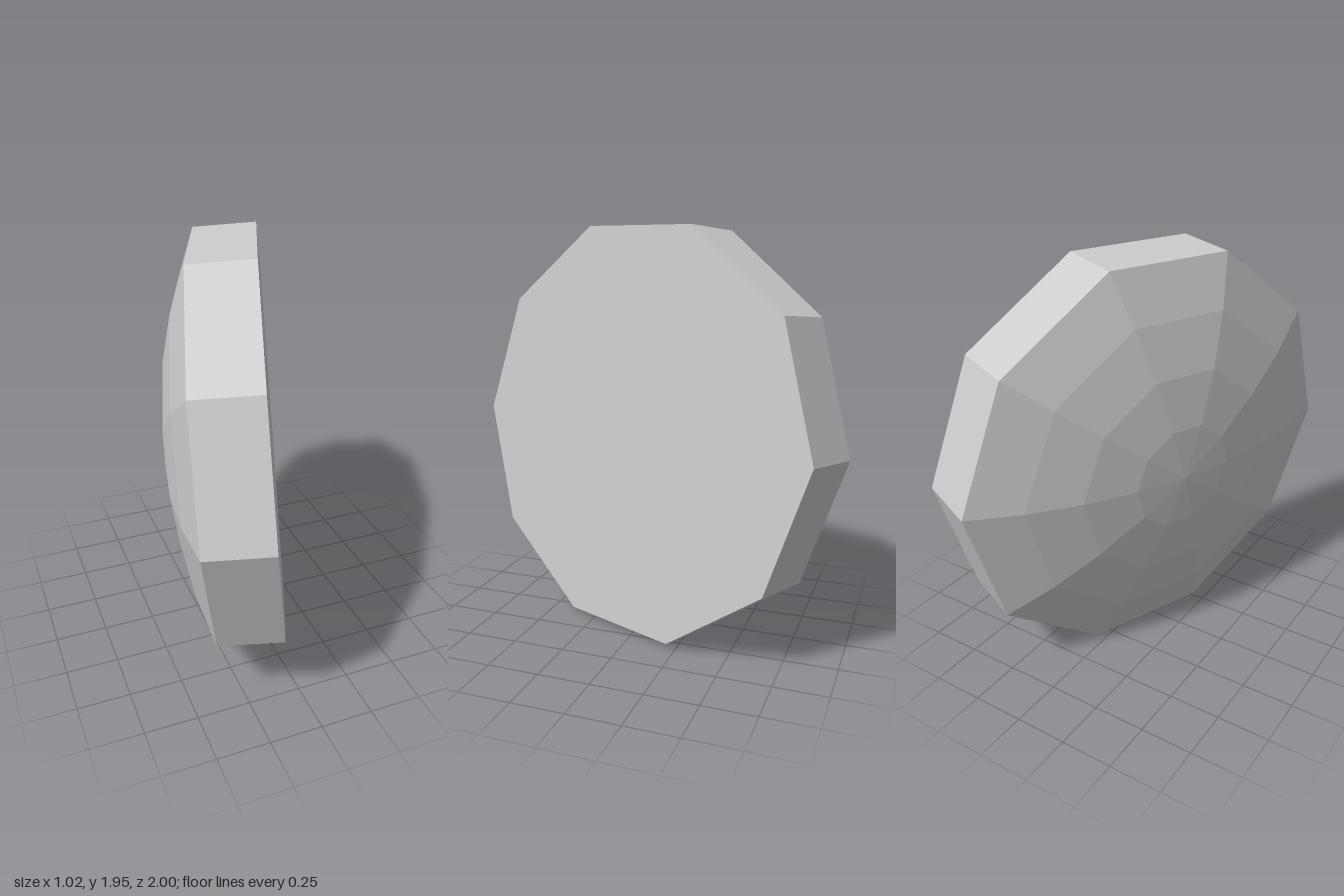
import * as THREE from 'three';

const SIDES = 10;
const RADIUS = 1.016;
const THICKNESS = 0.302;
const DOME_HEIGHT = 0.212;
const DOME_RINGS = 4;

export function createModel() {
  const group = new THREE.Group();
  group.name = 'domedDisc';

  const grey = new THREE.MeshStandardMaterial({ color: 0xcccccc, flatShading: true });
  grey.name = 'light grey';

  const addLathe = (name, points) => {
    const mesh = new THREE.Mesh(new THREE.LatheGeometry(points, SIDES), grey);
    mesh.name = name;
    group.add(mesh);
  };

  // Flat face and straight rim
  addLathe('flatFaceAndRim', [
    new THREE.Vector2(RADIUS, -THICKNESS),
    new THREE.Vector2(RADIUS, 0),
    new THREE.Vector2(0, 0),
  ]);

  // Shallow spherical dome on the other side, from its tip to the rim
  const sphere = (RADIUS ** 2 + DOME_HEIGHT ** 2) / (2 * DOME_HEIGHT);
  const spread = Math.asin(RADIUS / sphere);
  const dome = [];
  for (let i = 0; i <= DOME_RINGS; i++) {
    const a = (spread * i) / DOME_RINGS;
    dome.push(new THREE.Vector2(
      sphere * Math.sin(a),
      -THICKNESS - DOME_HEIGHT + sphere * (1 - Math.cos(a)),
    ));
  }
  addLathe('dome', dome);

  // Stand the disc on its rim, turned and tipped slightly
  const axis = new THREE.Vector3(0.927, 0.083, 0.365).normalize();
  const side = new THREE.Vector3(axis.z, 0, -axis.x).normalize();
  const up = new THREE.Vector3().crossVectors(axis, side);
  group.quaternion.setFromRotationMatrix(new THREE.Matrix4().makeBasis(up, axis, side));
  group.position.set(0.138, 0.99, 0.055);

  const model = new THREE.Group();
  model.name = 'model';
  model.add(group);
  return model;
}
